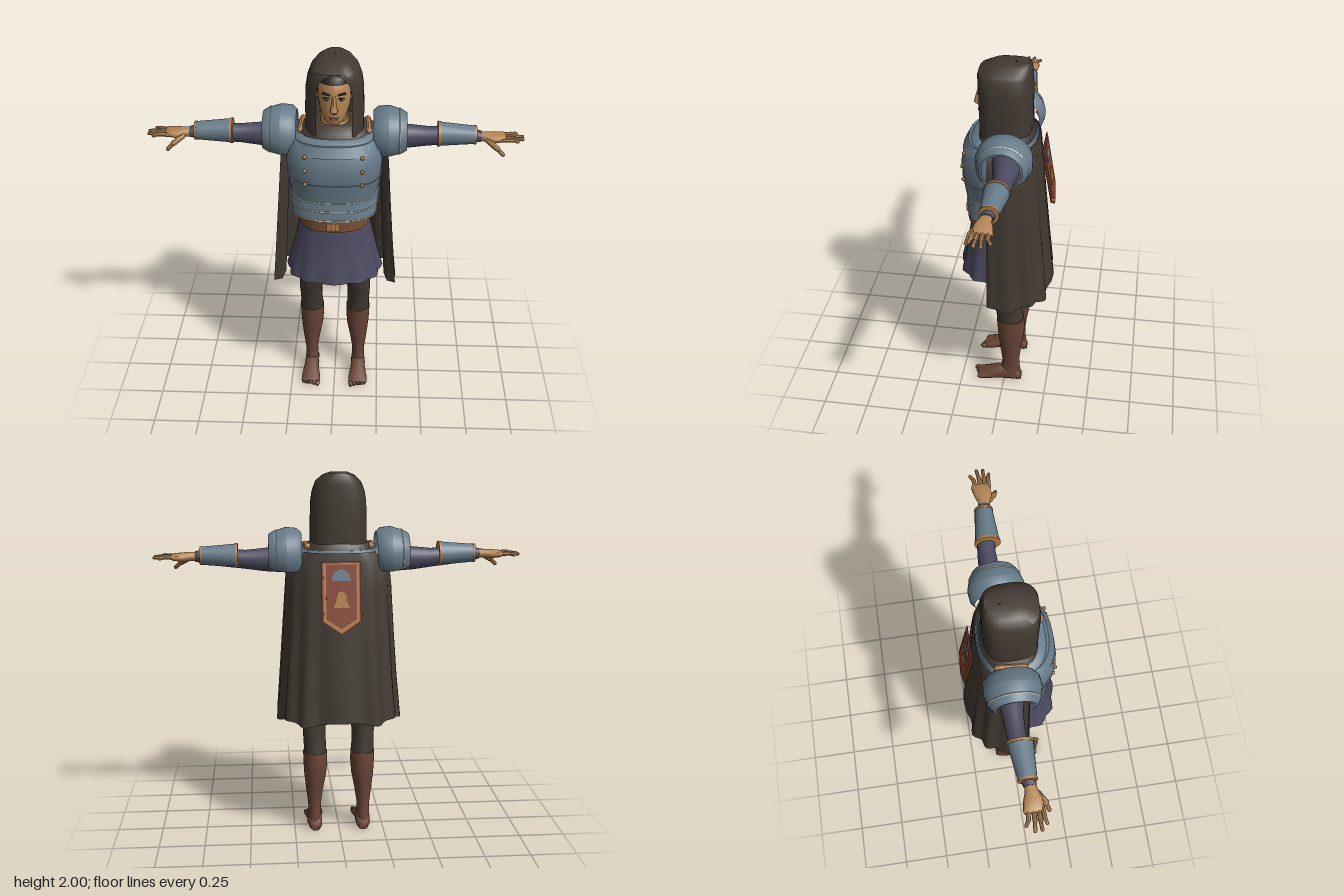
import * as THREE from 'three';
import { toCreasedNormals } from 'three/addons/utils/BufferGeometryUtils.js';

const material = (name, color, side = THREE.FrontSide) => {
  const m = new THREE.MeshStandardMaterial({ color, side });
  m.name = name;
  return m;
};
const V = (x, y, z) => new THREE.Vector3(x, y, z);
const sp = (v, e) => Math.sign(v) * Math.abs(v) ** (2 / e);

// Indexed geometry from a grid of points, optionally wrapped and capped
function grid(rows, wrap, cap) {
  const n = rows[0].length, pos = [], idx = [];
  rows.forEach(r => r.forEach(p => pos.push(p.x, p.y, p.z)));
  for (let j = 0; j < rows.length - 1; j++) for (let i = 0; i < (wrap ? n : n - 1); i++) {
    const a = j * n + i, b = j * n + (i + 1) % n;
    idx.push(a, b, b + n, a, b + n, a + n);
  }
  if (cap) [0, rows.length - 1].forEach((j, top) => {
    const c = rows[j].reduce((s, p) => s.add(p), V(0, 0, 0)).divideScalar(n);
    const k = pos.push(c.x, c.y, c.z) / 3 - 1;
    for (let i = 0; i < n; i++) {
      const a = j * n + i, b = j * n + (i + 1) % n;
      top ? idx.push(k, a, b) : idx.push(k, b, a);
    }
  });
  const g = new THREE.BufferGeometry();
  g.setAttribute('position', new THREE.Float32BufferAttribute(pos, 3));
  return g.setIndex(idx);
}

// Upright loft; each section is [y, half width, front z, back z, centre x]
function loft(secs, { n = 24, e = 2.4, cap = true, fold = () => 1 } = {}) {
  return grid(secs.map(([y, rx, zf, zb, cx = 0], j) => Array.from({ length: n }, (_, i) => {
    const a = i / n * Math.PI * 2, k = fold(a, j / (secs.length - 1));
    return V(cx + rx * k * sp(Math.sin(a), e), y, (zf + zb) / 2 + (zf - zb) / 2 * k * sp(Math.cos(a), e));
  })), true, cap);
}
// Loft along x; each section is [x, half height, front z, back z, centre y]
const armLoft = (secs, o) => loft(secs.map(([x, h, f, b, y]) => [x, h, f, b, -y]), o).rotateZ(-Math.PI / 2);

function capsule(p, q, r) {
  const d = q.clone().sub(p), g = new THREE.CapsuleGeometry(r, d.length(), 3, 8);
  g.applyQuaternion(new THREE.Quaternion().setFromUnitVectors(V(0, 1, 0), d.normalize()));
  const m = p.clone().add(q).multiplyScalar(0.5);
  return g.translate(m.x, m.y, m.z);
}
function mirrored(geo) {
  const g = geo.clone().scale(-1, 1, 1), ix = g.index.array;
  for (let i = 0; i < ix.length; i += 3) [ix[i], ix[i + 1]] = [ix[i + 1], ix[i]];
  return g;
}
const box = (w, h, d, x, y, z) => new THREE.BoxGeometry(w, h, d).translate(x, y, z);
const ball = (r, sx, sy, sz, x, y, z) => new THREE.SphereGeometry(r, 12, 8).scale(sx, sy, sz).translate(x, y, z);

export function createModel() {
  const root = new THREE.Group();
  root.name = 'cloakedSoldier';
  const D = THREE.DoubleSide;
  const cloak = material('darkCloth', 0x423a32, D), steel = material('steel', 0x677b89, D);
  const navy = material('navyCloth', 0x4b4a60, D), skin = material('skin', 0xb48655);
  const trim = material('bronzeTrim', 0xb07c45), boot = material('bootLeather', 0x694536);
  const belt = material('beltLeather', 0x7d5034), red = material('redCloth', 0x86402f);
  const hair = material('blackHair', 0x2a2420), pale = material('paleEdge', 0xb9bcb4);

  const add = (name, geo, mat, parent = root) => {
    const mesh = new THREE.Mesh(toCreasedNormals(geo, 0.75), mat);
    mesh.name = name;
    parent.add(mesh);
    return mesh;
  };
  const both = (name, geo, mat) => {
    add('left' + name, geo, mat);
    add('right' + name, mirrored(geo), mat);
  };

  // Legs, boots and feet
  both('Trouser', loft([[0.44, 0.064, 0.04, -0.112, 0.132], [0.5, 0.062, 0.045, -0.105, 0.134],
    [0.6, 0.064, 0.072, -0.092, 0.137], [0.7, 0.078, 0.1, -0.095, 0.124], [0.8, 0.09, 0.115, -0.1, 0.112],
    [0.98, 0.095, 0.12, -0.11, 0.1]], { e: 2.1 }), cloak);
  both('Boot', loft([[0.03, 0.042, 0.04, -0.095, 0.138], [0.09, 0.036, 0.015, -0.092, 0.137],
    [0.15, 0.036, 0.012, -0.088, 0.138], [0.23, 0.047, 0.022, -0.096, 0.137], [0.33, 0.062, 0.034, -0.113, 0.133],
    [0.4, 0.067, 0.04, -0.118, 0.132], [0.46, 0.067, 0.044, -0.114, 0.133]], { e: 2.1 }), boot);
  both('Foot', loft([[-0.1, 0.025, 0, -0.04, 0.135], [-0.08, 0.038, 0, -0.075, 0.135], [-0.02, 0.04, 0, -0.1, 0.137],
    [0.04, 0.043, 0, -0.085, 0.138], [0.1, 0.053, 0, -0.052, 0.138], [0.14, 0.054, 0, -0.038, 0.138],
    [0.155, 0.048, -0.004, -0.03, 0.138]], { e: 2.3 }).rotateX(Math.PI / 2), boot);
  for (let i = 0; i < 5; i++)
    both('Toe' + (i + 1), ball(0.017 - i * 0.0015, 0.8, 0.95, 1.4, 0.098 + i * 0.02, 0.0165, 0.16 - i * 0.007), boot);

  // Pleated skirt, belt and buckle
  add('skirt', loft([[1.11, 0.185, 0.19, -0.15], [0.98, 0.21, 0.208, -0.165], [0.87, 0.235, 0.23, -0.18],
    [0.78, 0.258, 0.25, -0.195]], { n: 48, cap: false, fold: (a, t) => 1 + 0.035 * t * Math.cos(a * 12) }), navy);
  add('belt', loft([[1.088, 0.194, 0.212, -0.16], [1.15, 0.197, 0.214, -0.16]]), belt);
  add('buckle', box(0.07, 0.045, 0.012, 0, 1.125, 0.216), trim);
  for (const x of [-0.012, 0.012]) add('buckleSlot', box(0.004, 0.04, 0.004, x, 1.125, 0.222), belt);

  // Breastplate, layered waist bands and rivets
  add('breastplate', loft([[1.27, 0.222, 0.212, -0.155], [1.38, 0.245, 0.23, -0.158], [1.45, 0.253, 0.238, -0.16],
    [1.53, 0.25, 0.22, -0.162], [1.575, 0.225, 0.195, -0.158], [1.6, 0.195, 0.165, -0.15]], { n: 32, e: 2.5 }), steel);
  add('upperChestPlate', loft([[1.53, 0.235, 0.229, -0.164], [1.583, 0.212, 0.2, -0.162]], { n: 32, e: 2.5 }), steel);
  add('lowerChestPlate', loft([[1.27, 0.23, 0.217, -0.156], [1.375, 0.25, 0.234, -0.159]], { n: 32, e: 2.5 }), steel);
  for (let i = 0; i < 3; i++) {
    const y = 1.155 + i * 0.053, w = 0.228 + i * 0.005;
    add('waistBand', loft([[y, w, 0.212, -0.158], [y + 0.058, w - 0.016, 0.206, -0.152]], { n: 32, e: 2.5 }), steel);
    add('waistBandEdge', loft([[y - 0.003, w + 0.003, 0.215, -0.159], [y + 0.004, w + 0.002, 0.214, -0.159]], { n: 32, e: 2.5 }), pale);
  }
  [[1.53, 0.208], [1.455, 0.218], [1.375, 0.213]].forEach(([y, z]) =>
    both('Rivet', ball(0.011, 1, 1, 0.8, 0.148, y, z), trim));

  // Neck, mantle and its trim
  add('neck', loft([[1.58, 0.07, 0.08, -0.07], [1.72, 0.058, 0.075, -0.07]]), skin);
  add('mantle', loft([[1.585, 0.2, 0.15, -0.15], [1.625, 0.175, 0.135, -0.14], [1.655, 0.11, 0.105, -0.115],
    [1.66, 0.07, 0.085, -0.08]], { n: 28 }), cloak);
  add('collarTrim', loft([[1.65, 0.078, 0.098, -0.08], [1.67, 0.07, 0.088, -0.075]]), trim);
  both('ShoulderStrap', capsule(V(0.178, 1.612, 0.05), V(0.17, 1.618, -0.08), 0.018), trim);

  // Head, hair and face
  add('head', loft([[1.675, 0.032, 0.132, 0.06], [1.69, 0.05, 0.145, 0], [1.72, 0.066, 0.15, -0.05],
    [1.76, 0.079, 0.148, -0.08], [1.81, 0.087, 0.148, -0.09], [1.86, 0.088, 0.148, -0.095],
    [1.91, 0.078, 0.135, -0.09], [1.94, 0.05, 0.09, -0.06]], { e: 2.2, n: 28 }), skin);
  add('hair', loft([[1.895, 0.088, 0.143, -0.1], [1.925, 0.08, 0.135, -0.095], [1.95, 0.05, 0.1, -0.07]], { e: 2.2 }), hair);
  add('nose', loft([[1.747, 0.015, 0.16, 0.13], [1.76, 0.021, 0.175, 0.13], [1.8, 0.012, 0.164, 0.13],
    [1.845, 0.009, 0.151, 0.13]], { n: 10, e: 2 }), skin);
  add('mouth', box(0.046, 0.006, 0.008, 0, 1.725, 0.147), boot);
  add('lowerLip', ball(0.02, 1, 0.3, 0.4, 0, 1.716, 0.146), belt);
  both('Sideburn', box(0.014, 0.08, 0.05, 0.081, 1.865, 0.05), hair);
  both('Eye', ball(0.015, 1, 0.45, 0.5, 0.037, 1.82, 0.137), pale);
  both('Pupil', ball(0.006, 1, 1, 0.7, 0.037, 1.82, 0.143), hair);
  both('Eyelid', box(0.034, 0.005, 0.008, 0.037, 1.828, 0.142), hair);
  both('Brow', box(0.042, 0.01, 0.009, 0, 0, 0).rotateZ(0.14).rotateY(0.2).translate(0.038, 1.849, 0.14), hair);
  both('Ear', ball(0.025, 0.35, 1.1, 0.65, 0.088, 1.8, 0.02), skin);

  // Hood: rings open at the front by an angle that closes near the top
  const hood = [[1.59, 0.152, 0.142, -0.132, 0.5], [1.74, 0.152, 0.145, -0.132, 0.5], [1.85, 0.148, 0.148, -0.132, 0.5],
    [1.9, 0.14, 0.15, -0.13, 0.42], [1.935, 0.127, 0.15, -0.128, 0.22], [1.952, 0.12, 0.145, -0.127, 0],
    [1.985, 0.085, 0.085, -0.122, 0], [2, 0.05, 0.035, -0.115, 0], [1.995, 0.001, -0.03, -0.05, 0]];
  add('hood', grid(hood.map(([y, rx, zf, zb, gap]) => Array.from({ length: 33 }, (_, i) => {
    const a = (i / 16 - 1) * (Math.PI - gap);
    return V(-rx * sp(Math.sin(a), 2.9), y, (zf + zb) / 2 - (zf - zb) / 2 * sp(Math.cos(a), 2.9));
  }))), cloak);

  // Cape: open sheet round the back, folds deepening toward the hem
  const cape = [[1.59, 0.22, 0.165], [1.54, 0.275, 0.172], [1.4, 0.288, 0.185], [1.15, 0.302, 0.205],
    [0.9, 0.318, 0.228], [0.67, 0.338, 0.25]];
  add('cape', grid(cape.map(([y, w, d], j) => Array.from({ length: 49 }, (_, i) => {
    const a = (i / 24 - 1) * Math.PI / 2, t = j / 5, f = 1 + 0.035 * t * Math.cos(a * 14);
    return V(-w * f * sp(Math.sin(a), 3), y + 0.012 * t * Math.cos(a * 7), 0.068 - (d + 0.068) * f * sp(Math.cos(a), 3));
  }))), cloak);
  both('CapeFrontFold', grid([1.5, 0.68].map((y, j) =>
    [V(0.28 + j * 0.06, y, 0.068), V(0.25 + j * 0.045, y, 0.05), V(0.235 + j * 0.04, y + 0.03, 0.01)])), cloak);

  // Back banner with border and simple patches
  const banner = new THREE.Group();
  banner.name = 'backBanner';
  banner.position.set(0, 1.55, -0.192);
  banner.rotation.set(0.165, Math.PI, 0);
  root.add(banner);
  const plate = (name, pts, mat, z) => add(name, new THREE.ExtrudeGeometry(
    new THREE.Shape(pts.map(([x, y]) => new THREE.Vector2(x, y))), { depth: 0.004, bevelEnabled: false }).translate(0, 0, z), mat, banner);
  const pennant = (w, top, side, tip) => [[-w, top], [-w, side], [0, tip], [w, side], [w, top]];
  plate('bannerEdge', pennant(0.103, 0, -0.315, -0.385), red, 0);
  plate('bannerBorder', pennant(0.094, -0.008, -0.31, -0.373), trim, 0.003);
  plate('bannerField', pennant(0.08, -0.014, -0.3, -0.353), red, 0.006);
  plate('bannerDome', Array.from({ length: 13 }, (_, i) =>
    [0.05 * Math.cos(i * Math.PI / 12), -0.1 + 0.06 * Math.sin(i * Math.PI / 12)]), steel, 0.009);
  plate('bannerBell', [[-0.045, -0.24], [0.045, -0.24], [0.03, -0.215], [0.024, -0.17], [0, -0.15],
    [-0.024, -0.17], [-0.03, -0.215]], trim, 0.009);

  // Sleeves, bracers and wrists
  both('Sleeve', armLoft([[0.1, 0.08, 0.06, -0.12, 1.54], [0.25, 0.075, 0.045, -0.11, 1.545],
    [0.4, 0.062, 0.015, -0.092, 1.543], [0.5, 0.05, 0.01, -0.085, 1.545], [0.6, 0.05, 0.02, -0.075, 1.555],
    [0.7, 0.04, 0.02, -0.06, 1.56], [0.765, 0.028, 0.02, -0.045, 1.56]], { e: 2.1 }), navy);
  both('Bracer', armLoft([[0.545, 0.064, 0.04, -0.09, 1.564], [0.735, 0.048, 0.028, -0.066, 1.564]], { n: 20, e: 2 }), steel);
  both('BracerElbowRim', armLoft([[0.538, 0.068, 0.044, -0.094, 1.564], [0.552, 0.067, 0.043, -0.093, 1.564]], { n: 20, e: 2 }), trim);
  both('BracerWristRim', armLoft([[0.728, 0.051, 0.031, -0.069, 1.564], [0.74, 0.05, 0.03, -0.068, 1.564]], { n: 20, e: 2 }), trim);

  // Hands with spread fingers
  both('Palm', armLoft([[0.75, 0.024, 0.015, -0.04, 1.56], [0.79, 0.023, 0.024, -0.042, 1.56],
    [0.83, 0.024, 0.04, -0.056, 1.556], [0.88, 0.018, 0.036, -0.064, 1.558], [0.893, 0.01, 0.03, -0.06, 1.558]], { n: 16 }), skin);
  [[0.93, 0.033, 0.95, 0.04], [0.935, 0.01, 0.978, 0.012], [0.935, -0.016, 0.98, -0.022], [0.925, -0.045, 0.95, -0.06]]
    .forEach(([mx, mz, tx, tz], i) => {
      both('FingerBase' + (i + 1), capsule(V(0.87, 1.558, mz * 0.9), V(mx, 1.561, mz), 0.0115), skin);
      both('FingerTip' + (i + 1), capsule(V(mx, 1.561, mz), V(tx, 1.556, tz), 0.0095), skin);
    });
  both('ThumbBase', capsule(V(0.8, 1.548, 0.02), V(0.845, 1.52, 0.052), 0.016), skin);
  both('ThumbTip', capsule(V(0.845, 1.52, 0.052), V(0.875, 1.492, 0.064), 0.011), skin);

  // Pauldrons: three overlapping arcs, open underneath
  const arc = pts => new THREE.LatheGeometry(pts.map(([x, r]) => new THREE.Vector2(r, x)), 24,
    Math.PI * 0.8, Math.PI * 1.4).rotateZ(-Math.PI / 2).scale(1, 1, 1.04).translate(0, 1.57, -0.02);
  both('PauldronInner', arc([[0.2, 0.115], [0.225, 0.137], [0.28, 0.142]]), steel);
  both('PauldronMiddle', arc([[0.255, 0.139], [0.285, 0.141], [0.335, 0.126]]), steel);
  both('PauldronOuter', arc([[0.31, 0.128], [0.345, 0.124], [0.376, 0.105], [0.376, 0.094]]), steel);
  both('PauldronEdge', arc([[0.334, 0.127], [0.338, 0.129], [0.342, 0.126]]), pale);

  return root;
}
